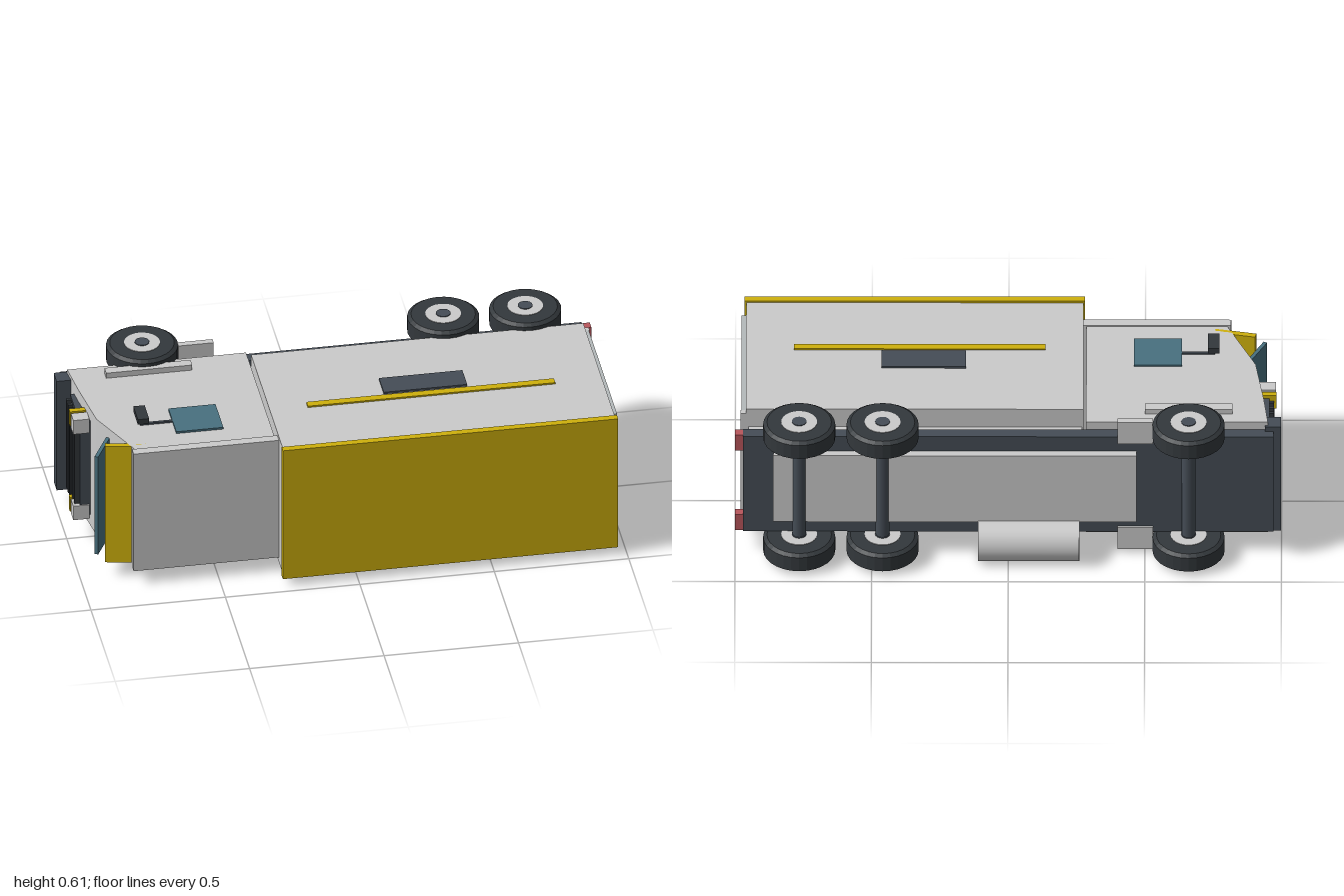
import * as THREE from 'three';

const mat = (color) => new THREE.MeshStandardMaterial({ color });
const grey = mat(0xcccccc), doorGrey = mat(0xb4babb), yellow = mat(0xceb00c);
const dark = mat(0x454d56), rubber = mat(0x33383c), teal = mat(0x48707f), red = mat(0xb9565c);

const MID = 0.31; // centre plane of the truck, which lies on its side with its roof towards +z

export function createModel() {
  const truck = new THREE.Group();
  truck.name = 'boxTruck';

  function add(name, geometry, material, x, y, z) {
    const mesh = new THREE.Mesh(geometry, material);
    mesh.name = name;
    mesh.position.set(x, y, z);
    truck.add(mesh);
    return mesh;
  }
  // Box given by its limits on each axis
  function box(name, material, [x0, x1], [y0, y1], [z0, z1]) {
    return add(name, new THREE.BoxGeometry(x1 - x0, y1 - y0, z1 - z0), material,
      (x0 + x1) / 2, (y0 + y1) / 2, (z0 + z1) / 2);
  }
  // The same box on both flanks; limits measured outwards from the centre plane
  function pair(name, material, xs, [d0, d1], zs) {
    box(name + 'Upper', material, xs, [MID + d0, MID + d1], zs);
    box(name + 'Lower', material, xs, [MID - d1, MID - d0], zs);
  }
  // Slanted panel across the cab, between two points in x and z
  function panel(name, material, [xa, za], [xb, zb], thickness, width) {
    const length = Math.hypot(xb - xa, zb - za);
    const mesh = add(name, new THREE.BoxGeometry(length, width, thickness), material,
      (xa + xb) / 2, MID, (za + zb) / 2);
    mesh.rotation.y = -Math.atan2(zb - za, xb - xa);
  }

  // Chassis and underside
  box('chassis', dark, [-0.97, 0.97], [0.095, 0.525], [-0.315, -0.27]);
  box('underPlate', grey, [-0.47, 0.86], [0.16, 0.46], [-0.345, -0.315]);
  const tank = add('fuelTank', new THREE.CylinderGeometry(0.081, 0.081, 0.37, 24), grey, -0.075, 0.083, -0.345);
  tank.rotation.z = Math.PI / 2;
  pair('tailLight', red, [0.965, 1], [0.145, 0.215], [-0.307, -0.272]);
  pair('step', grey, [-0.53, -0.4], [0.19, 0.287], [-0.325, -0.3]);

  // Cargo box
  box('cargoBox', grey, [-0.275, 0.96], [0.04, 0.58], [-0.22, 0.44]);
  box('cargoSubframe', grey, [-0.27, 0.95], [0.12, 0.5], [-0.275, -0.22]);
  box('cargoRoof', yellow, [-0.28, 0.967], [0.034, 0.588], [0.438, 0.465]);
  box('rearDoor', doorGrey, [0.955, 0.977], [0.06, 0.56], [-0.2, 0.385]);
  box('rearSill', grey, [0.955, 0.98], [0.06, 0.56], [-0.375 + 0.155, -0.2]);
  pair('sideStripe', yellow, [-0.135, 0.785], [0.265, 0.276], [0.145, 0.175]);
  pair('sidePanel', dark, [0.155, 0.465], [0.265, 0.278], [0.033, 0.133]);

  // Cab extruded from its side profile
  const profile = new THREE.Shape([
    [-0.285, -0.27], [-0.285, 0.322], [-0.8, 0.322], [-0.905, 0.085], [-0.935, -0.13], [-0.95, -0.27],
  ].map(([x, z]) => new THREE.Vector2(x, -z)));
  const cabGeometry = new THREE.ExtrudeGeometry(profile, { depth: 0.5, bevelEnabled: false });
  cabGeometry.rotateX(-Math.PI / 2);
  add('cab', cabGeometry, grey, 0, MID - 0.25, 0);
  box('cabRoof', grey, [-0.815, -0.275], [0.06, 0.565], [0.32, 0.355]);
  panel('windscreen', teal, [-0.94, 0.278], [-0.875, 0.155], 0.014, 0.42);
  panel('sunVisor', yellow, [-0.905, 0.265], [-0.755, 0.295], 0.022, 0.5);
  pair('doorWindow', teal, [-0.635, -0.46], [0.245, 0.258], [0.072, 0.235]);
  pair('fenderTrim', grey, [-0.82, -0.5], [0.245, 0.272], [-0.222, -0.186]);
  pair('mirrorArm', dark, [-0.75, -0.63], [0.245, 0.257], [0.147, 0.157]);
  pair('mirrorStem', dark, [-0.755, -0.743], [0.245, 0.29], [0.147, 0.157]);
  pair('mirror', rubber, [-0.772, -0.73], [0.283, 0.305], [0.108, 0.202]);

  // Cab front
  box('bumper', dark, [-0.998, -0.94], [0.075, 0.545], [-0.28, -0.22]);
  box('grille', dark, [-0.955, -0.915], [0.11, 0.51], [-0.18, 0.02]);
  for (let i = 0; i < 6; i++) {
    const z = -0.17 + i * 0.033;
    box('grilleBar', rubber, [-0.973, -0.95], [0.12, 0.5], [z, z + 0.014]);
  }
  pair('headlight', grey, [-0.98, -0.92], [0.155, 0.215], [-0.025, 0.025]);
  pair('indicator', yellow, [-0.982, -0.92], [0.155, 0.215], [-0.058, -0.036]);

  // Wheels: rounded tyre, grey rim and dark hub, turned around the axle
  const tyreProfile = [[0, -0.04], [0.118, -0.04], [0.132, -0.03], [0.132, 0.03], [0.118, 0.04], [0, 0.04]]
    .map(([r, h]) => new THREE.Vector2(r, h));
  const tyre = new THREE.LatheGeometry(tyreProfile, 28).toNonIndexed();
  tyre.computeVertexNormals();
  const rim = new THREE.CylinderGeometry(0.066, 0.066, 0.084, 24);
  const hub = new THREE.CylinderGeometry(0.027, 0.027, 0.09, 16);
  for (const x of [-0.66, 0.46, 0.765]) {
    const axle = new THREE.CylinderGeometry(0.025, 0.025, 0.5, 12);
    add('axle', axle, dark, x, MID, -0.335);
    for (const side of [-1, 1]) {
      const y = MID + side * 0.255;
      add('tyre', tyre, rubber, x, y, -0.335);
      add('rim', rim, grey, x, y, -0.335);
      add('hub', hub, dark, x, y, -0.335);
    }
  }
  return truck;
}
